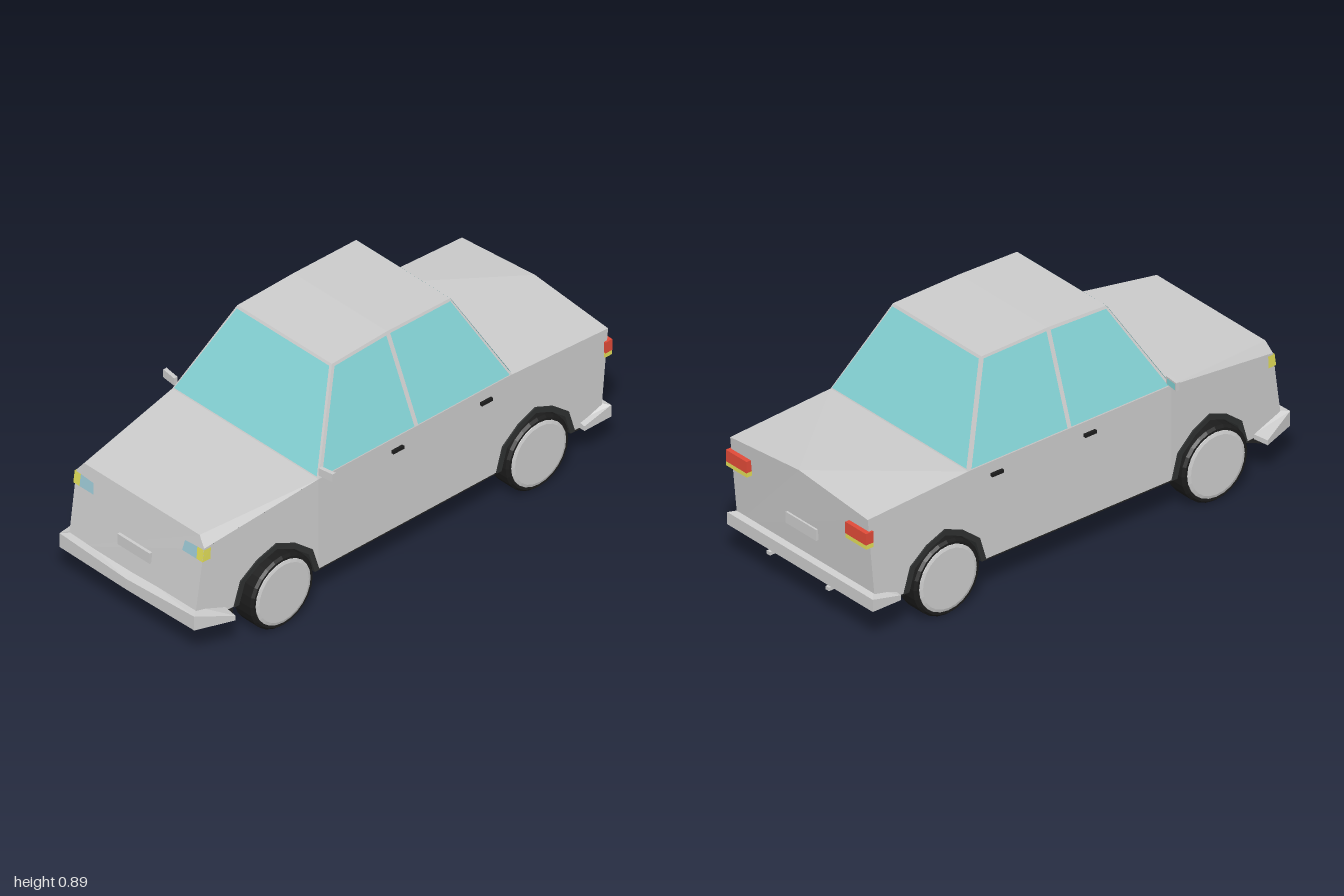
import * as THREE from 'three';

const paint = (color) => new THREE.MeshStandardMaterial({ color, flatShading: true, side: THREE.DoubleSide });
const grey = paint(0xcccccc), black = paint(0x1c1c1c), dark = paint(0x2e3030);
const glass = paint(0x84d2d4), lens = paint(0x9cc8d4), amber = paint(0xe0dc58), red = paint(0xe04a38);

// Flat polygon, corners counter-clockwise from outside
function poly(pts) {
  const pos = [];
  for (let i = 1; i < pts.length - 1; i++) pos.push(...pts[0], ...pts[i], ...pts[i + 1]);
  return fromPositions(pos);
}

function fromPositions(pos) {
  const g = new THREE.BufferGeometry();
  g.setAttribute('position', new THREE.Float32BufferAttribute(pos, 3));
  g.computeVertexNormals();
  return g;
}

// Closed solid through a row of four-cornered sections
function loft(sections) {
  const pos = [];
  const quad = (a, b, c, d) => pos.push(...a, ...b, ...c, ...a, ...c, ...d);
  for (let i = 0; i < sections.length - 1; i++) {
    const s = sections[i], t = sections[i + 1];
    for (let k = 0; k < 4; k++) quad(s[k], s[(k + 1) % 4], t[(k + 1) % 4], t[k]);
  }
  quad(...[...sections[0]].reverse());
  quad(...sections[sections.length - 1]);
  return fromPositions(pos);
}

// Copy reflected in x with its winding restored
function reflect(geo) {
  const g = geo.index ? geo.toNonIndexed() : geo.clone();
  const p = g.attributes.position, out = [];
  for (let i = 0; i < p.count; i += 3)
    for (const k of [i, i + 2, i + 1]) out.push(-p.getX(k), p.getY(k), p.getZ(k));
  return fromPositions(out);
}

const box = (w, h, d, x, y, z) => new THREE.BoxGeometry(w, h, d).translate(x, y, z);

// Body plan and slopes
const sideX = (z) => 0.38 - Math.max(0, z - 0.42) * 0.094;
const noseZ = (y) => 0.975 - (y - 0.15) * 0.145;
const tailZ = (y) => -0.95 - (y - 0.15) * 0.096;
const cabinX = (y) => 0.38 - (y - 0.54) * 0.393;
const axles = [0.61, -0.63];
const arch = [[-0.19, 0], [-0.16, 0.1], [-0.085, 0.16], [0, 0.195], [0.085, 0.16], [0.16, 0.1], [0.19, 0]];
const archAt = (z, s = 1) => arch.map(([u, v]) => [z + u * s, 0.15 + v * s]);

// Side panel drawn in (z, y), then laid on the right flank
function sidePanel(outline) {
  const g = new THREE.ShapeGeometry(new THREE.Shape(outline.map((p) => new THREE.Vector2(...p))));
  const p = g.attributes.position;
  for (let i = 0; i < p.count; i++) {
    const z = p.getX(i);
    p.setXYZ(i, -sideX(z), p.getY(i), z);
  }
  return g;
}

export function createModel() {
  const car = new THREE.Group();
  car.name = 'car';
  const add = (name, geo, mat = grey) => {
    const m = new THREE.Mesh(geo, mat);
    m.name = name;
    car.add(m);
  };
  const pair = (name, geo, mat = grey) => {
    const onLeft = (geo.computeBoundingBox(), geo.boundingBox.max.x > 0);
    add((onLeft ? 'left ' : 'right ') + name, geo, mat);
    add((onLeft ? 'right ' : 'left ') + name, reflect(geo), mat);
  };

  // Body shell
  add('hood', poly([[0.38, 0.54, 0.42], [-0.38, 0.54, 0.42], [-0.3, 0.5, 0.922], [0.3, 0.5, 0.922]]));
  add('nose', poly([[-0.328, 0.15, 0.975], [0.328, 0.15, 0.975], [0.332, 0.46, 0.93], [0.3, 0.5, 0.922],
    [-0.3, 0.5, 0.922], [-0.332, 0.46, 0.93]]));
  pair('fender chamfer', poly([[0.38, 0.54, 0.42], [0.3, 0.5, 0.922], [0.332, 0.46, 0.93]]));
  pair('front fender', sidePanel([[0.42, 0.54], ...archAt(axles[0]), [0.975, 0.15], [0.93, 0.46]]));
  pair('body side', sidePanel([[0.42, 0.54], [-0.52, 0.54], [-0.985, 0.515], [-0.95, 0.15],
    ...archAt(axles[1]), [0.42, 0.15]]));
  pair('trunk lid', poly([[0.38, 0.54, -0.52], [0.38, 0.515, -0.985], [0, 0.55, -0.985], [0, 0.54, -0.52]]));
  add('tail', poly([[0.38, 0.15, -0.95], [-0.38, 0.15, -0.95], [-0.38, 0.515, -0.985],
    [0, 0.55, -0.985], [0.38, 0.515, -0.985]]));

  // Underside, notched for the wheels
  const half = [[0.34, 0.985], [0.385, 0.845], [0.345, 0.8], [0.27, 0.8], [0.27, 0.42], [0.38, 0.42], [0.38, -0.44],
    [0.27, -0.44], [0.27, -0.82], [0.38, -0.82], [0.385, -0.86], [0.385, -0.97]];
  const outline = [...half, ...half.map(([x, z]) => [-x, z]).reverse()];
  add('underside', new THREE.ShapeGeometry(new THREE.Shape(outline.map((p) => new THREE.Vector2(...p))))
    .rotateX(Math.PI / 2).translate(0, 0.144, 0), black);

  // Cabin frame and roof
  pair('cabin side', poly([[0.38, 0.54, 0.42], [0.38, 0.54, -0.52], [0.244, 0.886, -0.345],
    [0.243, 0.89, -0.04], [0.246, 0.88, 0.23]]));
  add('windshield frame', poly([[-0.38, 0.54, 0.42], [0.38, 0.54, 0.42], [0.246, 0.88, 0.23], [-0.246, 0.88, 0.23]]));
  add('rear window frame', poly([[0.38, 0.54, -0.52], [-0.38, 0.54, -0.52], [-0.244, 0.886, -0.345], [0.244, 0.886, -0.345]]));
  add('roof front', poly([[0.243, 0.89, -0.04], [-0.243, 0.89, -0.04], [-0.246, 0.88, 0.23], [0.246, 0.88, 0.23]]));
  add('roof rear', poly([[0.244, 0.886, -0.345], [-0.244, 0.886, -0.345], [-0.243, 0.89, -0.04], [0.243, 0.89, -0.04]]));

  // Windows
  add('windshield', poly([[-0.371, 0.547, 0.42], [0.371, 0.547, 0.42], [0.24, 0.873, 0.238], [-0.24, 0.873, 0.238]]), glass);
  add('rear window', poly([[0.371, 0.547, -0.521], [-0.371, 0.547, -0.521], [-0.239, 0.878, -0.353], [0.239, 0.878, -0.353]]), glass);
  const sideGlass = (pts) => poly(pts.map(([z, y]) => [cabinX(y) + 0.004, y, z]));
  pair('front side window', sideGlass([[0.404, 0.546], [-0.044, 0.546], [-0.03, 0.88], [0.224, 0.872]]), glass);
  pair('rear side window', sideGlass([[-0.062, 0.546], [-0.506, 0.546], [-0.34, 0.879], [-0.049, 0.881]]), glass);

  // Wheels and arches
  const tyre = [[0, -0.052], [0.143, -0.052], [0.152, -0.042], [0.152, 0.042], [0.143, 0.052], [0.134, 0.052], [0.13, 0.047], [0, 0.047]];
  const cap = [[0.135, 0.045], [0.132, 0.053], [0.12, 0.057], [0, 0.057]];
  const lathe = (profile, z) => new THREE.LatheGeometry(profile.map((p) => new THREE.Vector2(...p)), 24)
    .rotateZ(-Math.PI / 2).translate(0.348, 0.152, z);
  axles.forEach((z, i) => {
    const end = i ? 'rear' : 'front';
    pair(end + ' tyre', lathe(tyre, z), black);
    pair(end + ' hubcap', lathe(cap, z));
    const outer = archAt(z), inner = archAt(z, 0.88);
    pair(end + ' wheel arch', loft(outer.map(([oz, oy], k) => {
      const [iz, iy] = inner[k], x = sideX(oz) + 0.006;
      return [[x, oy, oz], [x, iy, iz], [0.27, iy, iz], [0.27, oy, oz]];
    })), dark);
    pair(end + ' wheel well', poly(outer.map(([oz, oy]) => [0.27, oy, oz])), dark);
  });

  // Bumpers: [x, outer z, inner x, inner z, top y, inner top y]
  const bumper = (rows) => loft(rows.map(([x, z, ix, iz, t, it]) =>
    [[x, 0.145, z], [x, t, z], [ix, it, iz], [ix, 0.145, iz]]));
  add('front bumper', bumper([[0.405, 0.845, 0.34, 0.835, 0.165, 0.165], [0.35, 0.995, 0.31, 0.95, 0.205, 0.207],
    [0, 1, 0, 0.95, 0.191, 0.207], [-0.35, 0.995, -0.31, 0.95, 0.205, 0.207], [-0.405, 0.845, -0.34, 0.835, 0.165, 0.165]]));
  add('rear bumper', bumper([[-0.402, -0.85, -0.37, -0.85, 0.165, 0.17], [-0.402, -0.98, -0.36, -0.94, 0.195, 0.205],
    [0.402, -0.98, 0.36, -0.94, 0.195, 0.205], [0.402, -0.85, 0.37, -0.85, 0.165, 0.17]]));

  // Lamps
  const onNose = (pts) => poly(pts.map(([x, y]) => [x, y, noseZ(y) + 0.004]));
  pair('headlamp', onNose([[0.23, 0.408], [0.304, 0.408], [0.304, 0.457], [0.238, 0.452]]), lens);
  pair('front indicator', onNose([[0.302, 0.408], [0.335, 0.408], [0.335, 0.457], [0.302, 0.457]]), amber);
  pair('side indicator', poly([[0.336, 0.408, noseZ(0.408) + 0.004], [0.338, 0.408, 0.905],
    [0.338, 0.457, 0.903], [0.336, 0.457, noseZ(0.457) + 0.004]]), amber);
  pair('tail lamp', box(0.115, 0.047, 0.034, 0.33, 0.442, -0.982), red);
  pair('rear indicator', box(0.115, 0.018, 0.034, 0.33, 0.41, -0.981), amber);

  // Blank plates, exhausts, handles and mirrors
  add('front plate', box(0.168, 0.045, 0.012, 0, 0.303, 0).rotateX(0).translate(0, 0, noseZ(0.303) + 0.004));
  add('rear plate', box(0.168, 0.045, 0.012, 0, 0.315, tailZ(0.315) - 0.004));
  pair('exhaust', box(0.018, 0.014, 0.13, 0.163, 0.138, -0.925));
  for (const z of [0.04, -0.39]) pair('door handle', box(0.012, 0.013, 0.052, 0.385, 0.488, z), black);
  pair('mirror', loft([[0.375, 0.552, 0.584, 0.4], [0.44, 0.552, 0.586, 0.392]].reverse().map(([x, b, t, z]) =>
    [[x, b, z + 0.016], [x, t, z + 0.016], [x, t, z], [x, b, z]])));
  pair('mirror glass', poly([[0.436, 0.556, 0.39], [0.385, 0.556, 0.396], [0.385, 0.58, 0.396], [0.436, 0.582, 0.39]]), glass);
  return car;
}
